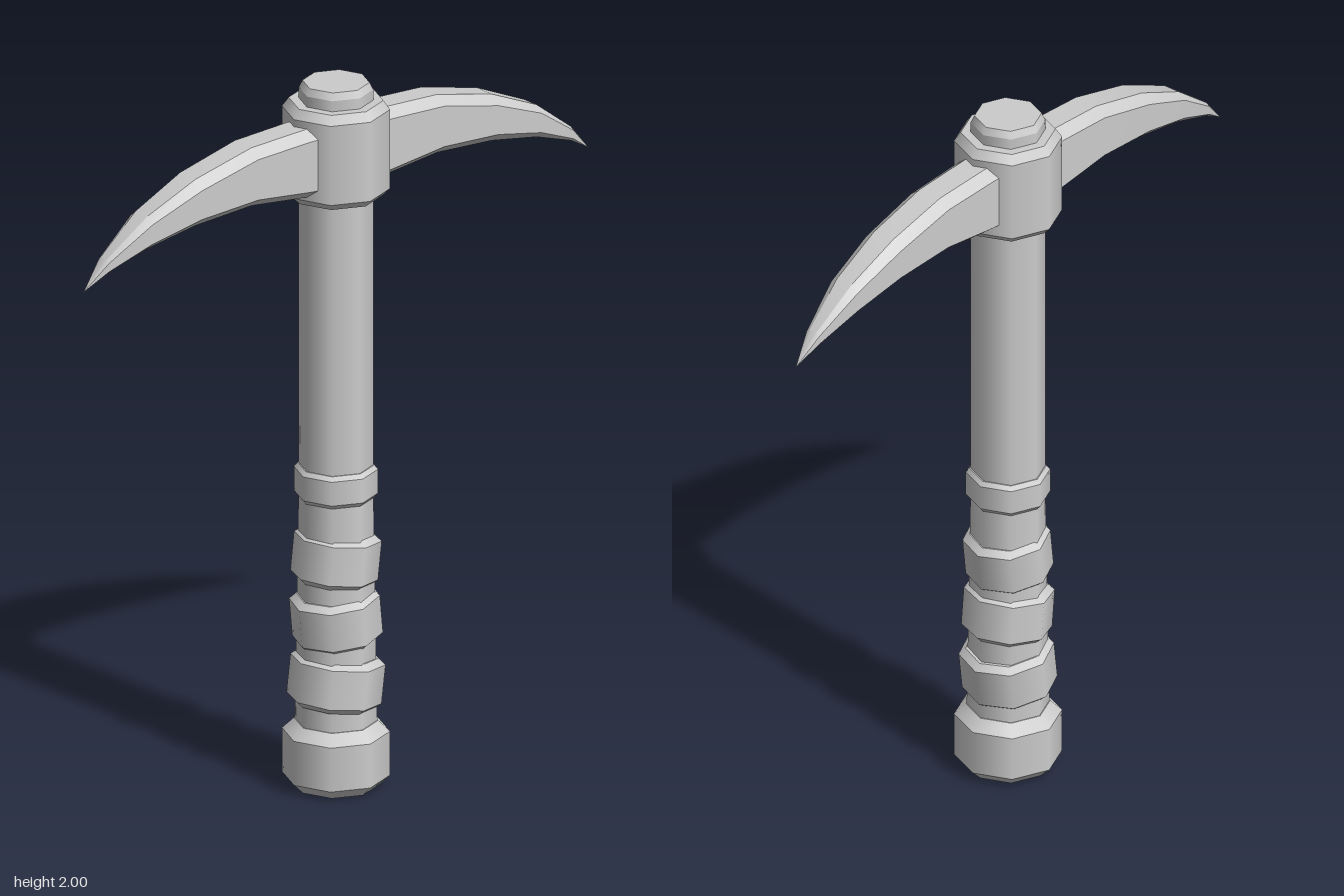
import * as THREE from 'three';
import { mergeGeometries, toCreasedNormals } from 'three/addons/utils/BufferGeometryUtils.js';

const grey = new THREE.MeshStandardMaterial({ color: 0xcccccc });
grey.name = 'grey';

// Eight-sided turned part from [radius, y] points: smooth around, crisp between bands
function turned(name, profile) {
  const bands = [];
  for (let i = 0; i < profile.length - 1; i++) {
    const [r0, y0] = profile[i], [r1, y1] = profile[i + 1];
    if (y0 === y1) continue;
    const band = new THREE.CylinderGeometry(r1, r0, y1 - y0, 8, 1, true);
    bands.push(band.translate(0, (y0 + y1) / 2, 0));
  }
  const [rb, yb] = profile[0], [rt, yt] = profile[profile.length - 1];
  bands.push(new THREE.CircleGeometry(rb, 8).rotateX(Math.PI / 2).translate(0, yb, 0));
  bands.push(new THREE.CircleGeometry(rt, 8).rotateX(-Math.PI / 2).translate(0, yt, 0));
  const mesh = new THREE.Mesh(mergeGeometries(bands), grey);
  mesh.name = name;
  return mesh;
}

// Curved pick arm: chamfered sections [x, top, bottom, half width] running to a point
function bladeGeometry() {
  const sections = [
    [0.05, 1.905, 1.705, 0.068],
    [0.14, 1.905, 1.712, 0.068],
    [0.32, 1.897, 1.732, 0.066],
    [0.51, 1.852, 1.72, 0.061],
    [0.67, 1.782, 1.69, 0.047],
    [0.80, 1.685, 1.645, 0.022],
  ];
  const tip = [0.87, 1.605, 0];
  const rings = sections.map(([x, top, bottom, w]) => {
    const c = Math.min(0.025, (top - bottom) * 0.2), n = w * 0.54;
    return [
      [x, top, -n], [x, top, n], [x, top - c, w], [x, bottom + c, w],
      [x, bottom, n], [x, bottom, -n], [x, bottom + c, -w], [x, top - c, -w],
    ];
  });
  const points = [];
  rings.forEach((ring, i) => {
    const next = rings[i + 1];
    for (let j = 0; j < 8; j++) {
      const k = (j + 1) % 8;
      if (next) points.push(ring[j], ring[k], next[j], ring[k], next[k], next[j]);
      else points.push(ring[j], ring[k], tip);
    }
  });
  const geometry = new THREE.BufferGeometry();
  geometry.setAttribute('position', new THREE.Float32BufferAttribute(points.flat(), 3));
  return toCreasedNormals(geometry, 0.5);
}

export function createModel() {
  const pickaxe = new THREE.Group();
  pickaxe.name = 'pickaxe';

  // Handle
  pickaxe.add(
    turned('pommel', [[0.113, 0], [0.145, 0.03], [0.145, 0.155], [0.113, 0.185]]),
    turned('shaft', [[0.112, 0.1], [0.1, 0.85], [0.1, 1.75]]),
    turned('gripCollar', [[0.103, 0.82], [0.113, 0.832], [0.113, 0.9], [0.103, 0.912]]),
  );

  // Tilted grip wraps: [centre height, radius, half height, tilt]
  [[0.3, 0.128, 0.07, -0.13], [0.48, 0.122, 0.07, 0.1], [0.65, 0.118, 0.07, -0.12]]
    .forEach(([y, r, h, tilt]) => {
      const wrap = turned('gripWrap',
        [[r - 0.02, -h], [r, -h + 0.016], [r, h - 0.016], [r - 0.02, h]]);
      wrap.position.y = y;
      wrap.rotation.z = tilt;
      pickaxe.add(wrap);
    });

  // Head socket and the handle end showing above it
  pickaxe.add(
    turned('socket', [[0.125, 1.68], [0.145, 1.7], [0.145, 1.925], [0.127, 1.95]]),
    turned('handleCap', [[0.1, 1.9], [0.1, 1.98], [0.09, 2]]),
  );

  // Mirrored pick arms
  const geometry = bladeGeometry();
  [['leftBlade', 0], ['rightBlade', Math.PI]].forEach(([name, turn]) => {
    const blade = new THREE.Mesh(geometry, grey);
    blade.name = name;
    blade.rotation.y = turn;
    pickaxe.add(blade);
  });

  return pickaxe;
}
